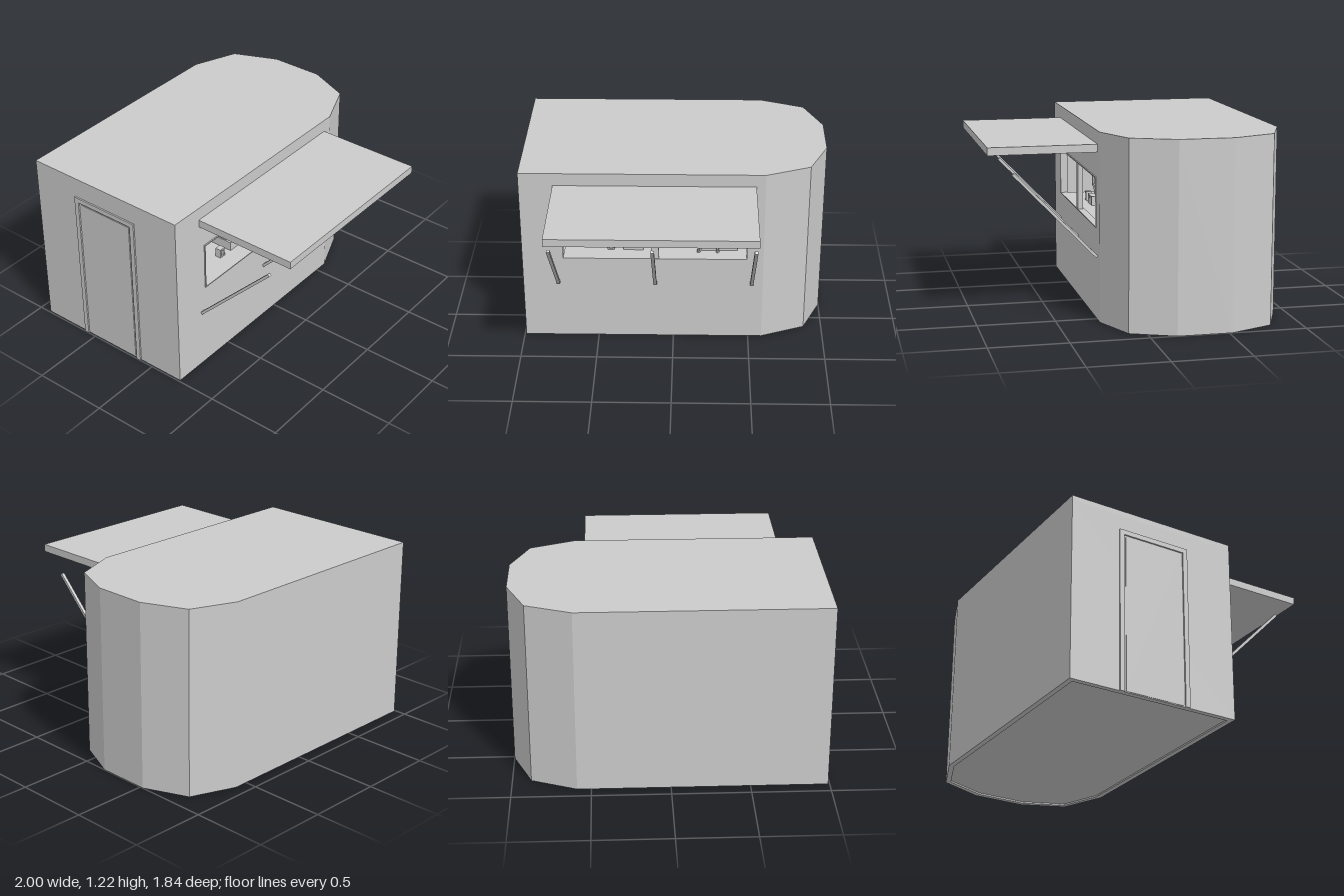
import * as THREE from 'three';

const material = new THREE.MeshStandardMaterial({ color: 0xcccccc, flatShading: true });

// Floor plan as [x, z], running from the front left corner around the back.
const OUTER = [[-0.99, 0.23], [-0.99, -0.92], [0.59, -0.92], [0.88, -0.805],
  [1, -0.52], [1, -0.17], [0.88, 0.11], [0.59, 0.23]];
const INNER = [[-0.955, 0.23], [-0.955, -0.885], [0.585, -0.885], [0.855, -0.78],
  [0.965, -0.51], [0.965, -0.18], [0.855, 0.09], [0.59, 0.195]];

function mesh(parent, name, geometry, x = 0, y = 0, z = 0) {
  const m = new THREE.Mesh(geometry, material);
  m.name = name;
  m.position.set(x, y, z);
  parent.add(m);
  return m;
}

// Box given by its limits along each axis.
function block(parent, name, [x0, x1], [y0, y1], [z0, z1]) {
  return mesh(parent, name, new THREE.BoxGeometry(x1 - x0, y1 - y0, z1 - z0),
    (x0 + x1) / 2, (y0 + y1) / 2, (z0 + z1) / 2);
}

// Upright prism over a floor plan.
function prism(parent, name, plan, y0, y1) {
  const shape = new THREE.Shape(plan.map(([x, z]) => new THREE.Vector2(x, -z)));
  const geometry = new THREE.ExtrudeGeometry(shape, { depth: y1 - y0, bevelEnabled: false });
  geometry.rotateX(-Math.PI / 2);
  return mesh(parent, name, geometry, 0, y0, 0);
}

function rectangle(Type, x0, x1, y0, y1) {
  return new Type([[x0, y0], [x1, y0], [x1, y1], [x0, y1]].map(p => new THREE.Vector2(...p)));
}

// Rectangular plate with a rectangular opening, facing z.
function openPlate(parent, name, outer, opening, z, depth) {
  const shape = rectangle(THREE.Shape, ...outer);
  shape.holes.push(rectangle(THREE.Path, ...opening));
  return mesh(parent, name, new THREE.ExtrudeGeometry(shape, { depth, bevelEnabled: false }), 0, 0, z);
}

function tube(parent, name, points, radius) {
  const path = new THREE.CatmullRomCurve3(points.map(p => new THREE.Vector3(...p)));
  return mesh(parent, name, new THREE.TubeGeometry(path, 10, radius, 6), 0, 0, 0);
}

function group(parent, name) {
  const g = new THREE.Group();
  g.name = name;
  parent.add(g);
  return g;
}

function buildShell(root) {
  const shell = group(root, 'shell');
  prism(shell, 'sideAndBackWalls', [...OUTER, ...[...INNER].reverse()], 0, 1.18);
  openPlate(shell, 'frontWall', [-0.955, 0.59, 0, 1.18], [-0.72, 0.48, 0.6, 0.91], 0.195, 0.035);
  prism(shell, 'roof', OUTER, 1.18, 1.215);
  const floorPlan = [[-0.955, 0.195], ...INNER.slice(1)];
  prism(shell, 'floor', floorPlan, 0.01, 0.045);
}

function buildHatch(root) {
  const hatch = group(root, 'servingHatch');
  openPlate(hatch, 'windowFrame', [-0.725, 0.485, 0.593, 0.917], [-0.72, 0.48, 0.6, 0.91], 0.19, 0.048);
  block(hatch, 'mullion', [-0.145, -0.095], [0.6, 0.91], [0.2, 0.235]);
  block(hatch, 'canopy', [-0.77, 0.53], [1.08, 1.13], [0.22, 0.92]);
  // Sloping struts below the canopy
  for (const x of [-0.758, -0.12, 0.517]) {
    const strut = mesh(hatch, 'strut', new THREE.BoxGeometry(0.022, 0.76, 0.018), x, 0.683, 0.497);
    strut.rotation.x = Math.atan2(0.53, 0.55);
  }
}

function buildDoor(root) {
  const door = group(root, 'door');
  block(door, 'doorPanel', [-0.994, -0.98], [0.005, 1.035], [-0.545, -0.145]);
  for (const [z0, z1] of [[-0.59, -0.558], [-0.132, -0.1]]) {
    block(door, 'doorPost', [-1, -0.98], [0, 1.08], [z0, z1]);
  }
  block(door, 'doorLintel', [-1, -0.98], [1.048, 1.08], [-0.558, -0.132]);
}

function buildInterior(root) {
  const inside = group(root, 'interior');
  // Serving counter and back counter
  block(inside, 'servingCounter', [-0.72, 0.48], [0.57, 0.598], [-0.06, 0.19]);
  block(inside, 'servingCupboard', [-0.7, 0.46], [0.045, 0.57], [-0.03, 0.19]);
  block(inside, 'backCounter', [-0.17, 0.5], [0.68, 0.7], [-0.885, -0.55]);
  for (const [x0, x1] of [[-0.15, 0.035], [0.045, 0.48]]) {
    block(inside, 'backCupboard', [x0, x1], [0.045, 0.68], [-0.885, -0.58]);
  }
  block(inside, 'partition', [-0.37, -0.35], [0.045, 1.18], [-0.885, -0.6]);

  // Extractor hood with tapering ends
  prism(inside, 'extractorHood', [[-0.37, -0.885], [0.42, -0.885], [0.4, -0.6], [-0.35, -0.6]], 0.84, 1.18);

  // Coffee machine
  const machine = group(inside, 'coffeeMachine');
  block(machine, 'machineBase', [-0.33, -0.2], [0.598, 0.66], [-0.04, 0.12]);
  block(machine, 'machineBody', [-0.325, -0.205], [0.66, 0.8], [-0.04, 0.08]);
  openPlate(machine, 'screenFrame', [-0.32, -0.21], [0.715, 0.79].length ? [-0.31, -0.22, 0.73, 0.78] : [], 0.08, 0.012)
    .geometry = screenGeometry();
  block(machine, 'spout', [-0.275, -0.255], [0.64, 0.66], [0.08, 0.125]);
  tube(machine, 'steamArm', [[-0.205, 0.69, 0.03], [-0.185, 0.7, 0.03], [-0.165, 0.74, 0.03], [-0.16, 0.79, 0.03]], 0.007);

  // Napkin holder
  const holder = group(inside, 'napkinHolder');
  openPlate(holder, 'holderFrame', [-0.435, -0.39, 0.598, 0.66], [-0.425, -0.4, 0.605, 0.65], 0.08, 0.04);

  // Sink with tap and small handles
  const sink = group(inside, 'sink');
  openPlate(sink, 'sinkRim', [0.18, 0.42, -0.12, 0.02], [0.2, 0.4, -0.1, 0], 0, 0.035)
    .rotation.x = -Math.PI / 2;
  sink.position.y = 0.598;
  tube(sink, 'tap', [[0.225, 0, 0.03], [0.225, 0.11, 0.03], [0.225, 0.125, 0.05], [0.225, 0.1, 0.09]], 0.008);
  for (const x of [0.165, 0.29]) {
    mesh(sink, 'tapHandle', new THREE.CylinderGeometry(0.008, 0.012, 0.025, 8), x, 0.0125, 0.14);
  }

  // Tall shelf unit at the right end
  block(inside, 'shelfPost', [0.445, 0.46], [0.598, 0.83], [-0.05, -0.02]);
  for (const y of [0.7, 0.78]) {
    block(inside, 'shelf', [0.46, 0.56], [y, y + 0.012], [-0.1, 0.1]);
  }
}

// Raised border around the machine's screen
function screenGeometry() {
  const shape = rectangle(THREE.Shape, -0.32, -0.21, 0.715, 0.795);
  shape.holes.push(rectangle(THREE.Path, -0.31, -0.22, 0.73, 0.785));
  return new THREE.ExtrudeGeometry(shape, { depth: 0.012, bevelEnabled: false });
}

export function createModel() {
  const root = new THREE.Group();
  root.name = 'kiosk';
  buildShell(root);
  buildHatch(root);
  buildDoor(root);
  buildInterior(root);
  return root;
}
